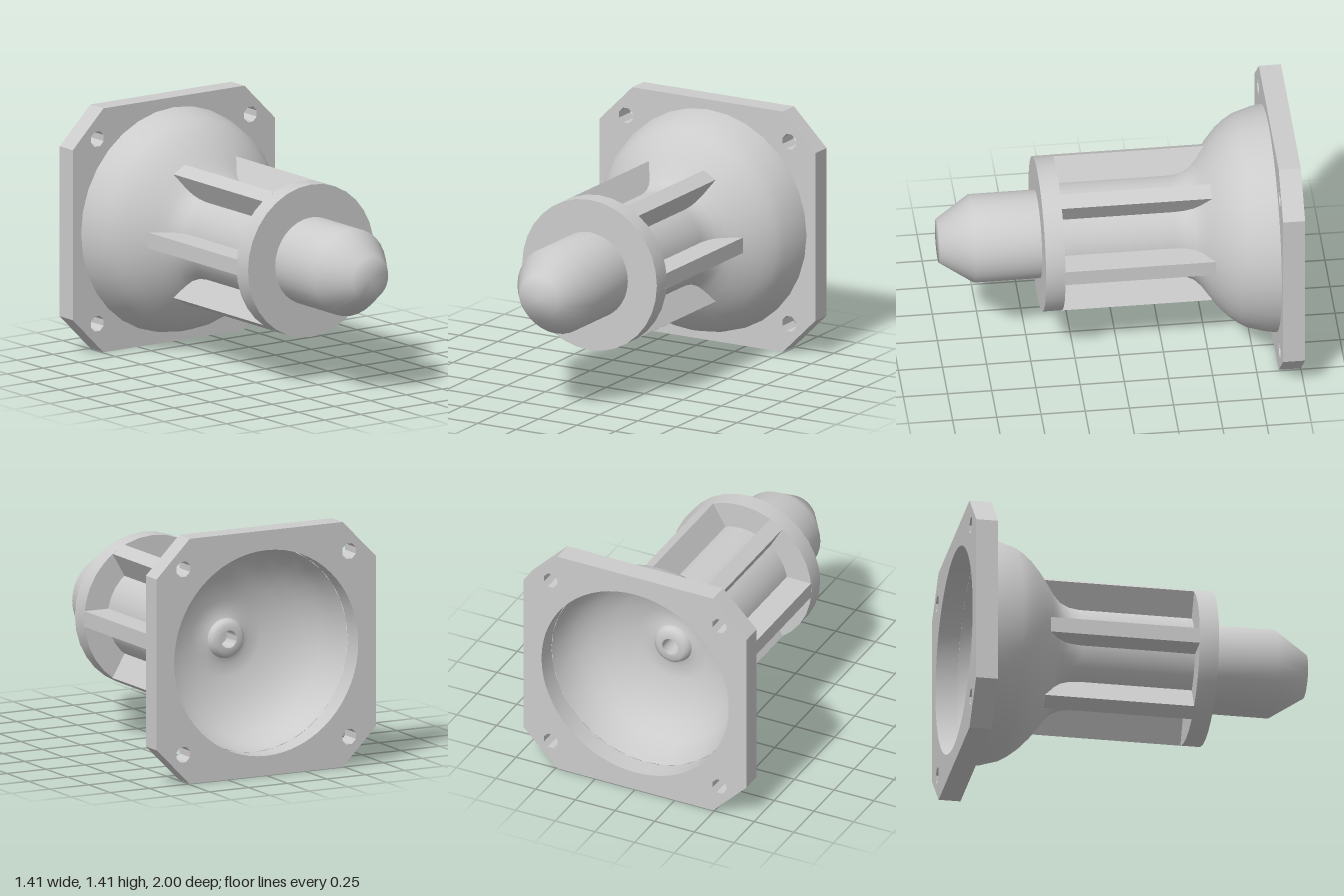
import * as THREE from 'three';
import { toCreasedNormals } from 'three/addons/utils/BufferGeometryUtils.js';

const HALF = 0.703; // half width of the square flange, also the axis height
const SEGMENTS = 32;

export function createModel() {
  const group = new THREE.Group();
  const material = new THREE.MeshStandardMaterial({ color: 0xcccccc });

  function add(name, geometry) {
    const mesh = new THREE.Mesh(geometry, material);
    mesh.name = name;
    mesh.position.y = HALF;
    group.add(mesh);
    return mesh;
  }

  // Turned part around the z axis; profile points are [radius, z]
  function turned(name, profile, crease) {
    const points = profile.map(([r, z]) => new THREE.Vector2(r, z));
    let geometry = new THREE.LatheGeometry(points, SEGMENTS);
    geometry.rotateX(Math.PI / 2);
    if (crease) geometry = toCreasedNormals(geometry, crease);
    return add(name, geometry);
  }

  // Flange: square plate with cut corners, a round bore and four bolt holes
  const c = 0.49;
  const plate = new THREE.Shape([
    [HALF, -c], [HALF, c], [c, HALF], [-c, HALF],
    [-HALF, c], [-HALF, -c], [-c, -HALF], [c, -HALF],
  ].map(([x, y]) => new THREE.Vector2(x, y)));
  plate.holes.push(new THREE.Path().absarc(0, 0, 0.59, 0, Math.PI * 2, true));
  for (const sx of [-1, 1]) {
    for (const sy of [-1, 1]) {
      const corners = [];
      for (let i = 0; i < 8; i++) {
        const a = -((i + 0.5) / 8) * Math.PI * 2;
        corners.push(new THREE.Vector2(sx * 0.532 + 0.047 * Math.cos(a), sy * 0.532 + 0.047 * Math.sin(a)));
      }
      plate.holes.push(new THREE.Path(corners));
    }
  }
  const flange = new THREE.ExtrudeGeometry(plate, { depth: 0.125, bevelEnabled: false, curveSegments: SEGMENTS });
  flange.translate(0, 0, -1);
  add('flange', toCreasedNormals(flange, 0.5));

  // Outer bowl flaring smoothly out of the core
  turned('bowlAndCore', [
    [0.646, -0.88], [0.635, -0.81], [0.605, -0.71], [0.575, -0.66], [0.535, -0.61],
    [0.475, -0.555], [0.41, -0.505], [0.36, -0.47], [0.32, -0.43], [0.297, -0.38],
    [0.288, -0.32], [0.288, 0.33],
  ]);

  // Inside of the bowl, with the small bored boss at its centre
  turned('bowlInterior', [
    [0, -0.45], [0.05, -0.45], [0.05, -0.565], [0.085, -0.565], [0.105, -0.55],
    [0.115, -0.525], [0.15, -0.515], [0.22, -0.525], [0.35, -0.565], [0.45, -0.625],
    [0.52, -0.695], [0.565, -0.78], [0.59, -0.875],
  ], 0.9);

  // Six lengthwise ribs
  for (let i = 0; i < 6; i++) {
    const rib = new THREE.BoxGeometry(0.17, 0.09, 0.855);
    rib.translate(0.352, 0, -0.0975);
    rib.rotateZ((i * Math.PI) / 3);
    add('rib' + (i + 1), rib);
  }

  // Collar at the front of the ribs
  turned('collar', [[0.2, 0.325], [0.439, 0.325], [0.439, 0.435], [0.2, 0.435]], 0.5);

  // Rounded, tapered nose
  turned('nose', [[0.25, 0.43], [0.25, 0.81], [0.125, 1], [0, 1]]);

  return group;
}
